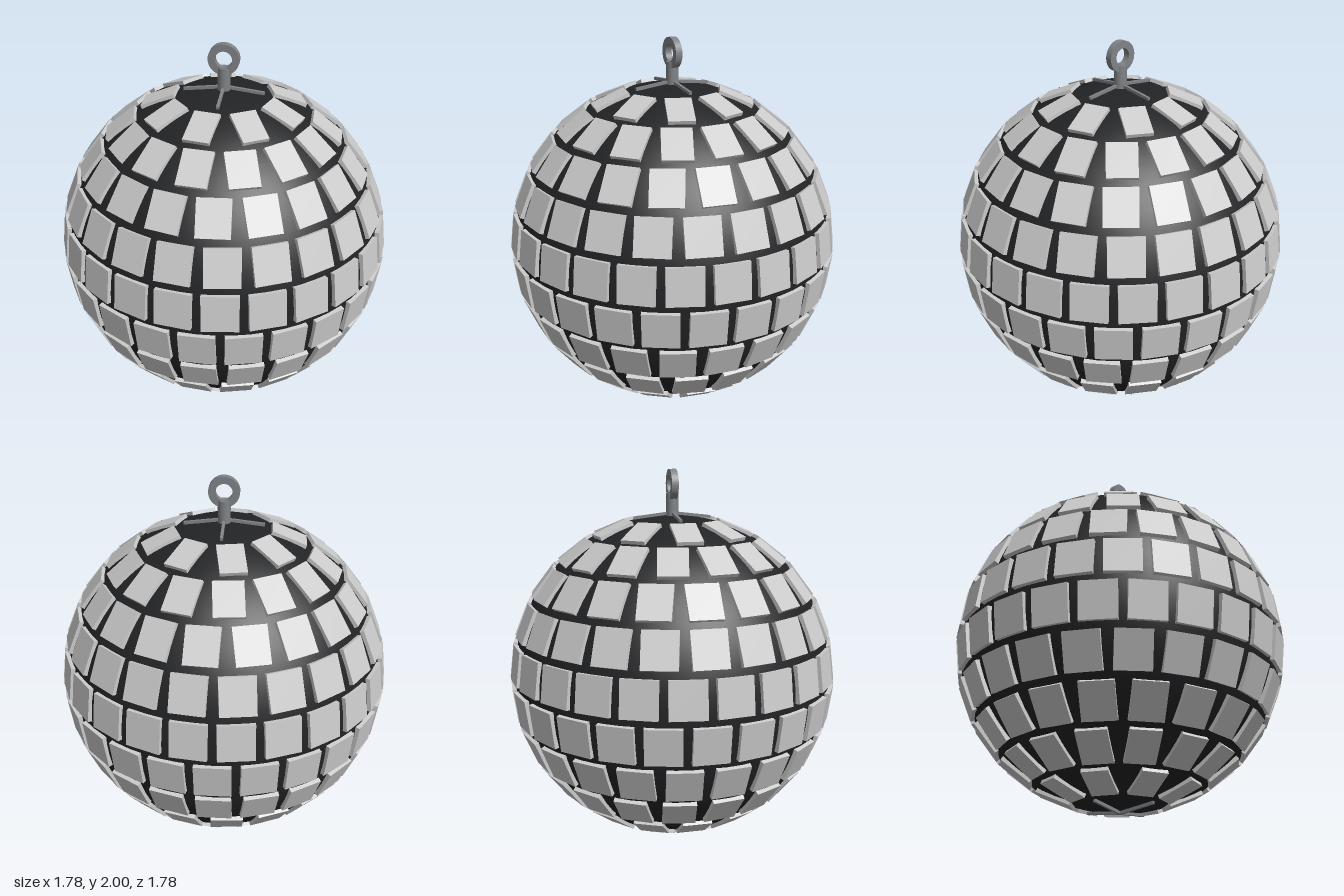
import * as THREE from 'three';

const CENTRE_Y = 0.89;
const BALL_R = 0.868;

export function createModel() {
  const model = new THREE.Group();
  const tileMat = new THREE.MeshStandardMaterial({ color: 0xcccccc });
  const coreMat = new THREE.MeshStandardMaterial({ color: 0x222325 });
  const metalMat = new THREE.MeshStandardMaterial({ color: 0x808386 });

  const add = (parent, name, geometry, material) => {
    const mesh = new THREE.Mesh(geometry, material);
    mesh.name = name;
    parent.add(mesh);
    return mesh;
  };

  // Places a mesh on the ball, its local +z pointing outwards
  const placeOnBall = (mesh, latitude, angle, radius) => {
    mesh.position.set(
      Math.cos(latitude) * Math.cos(angle),
      Math.sin(latitude),
      Math.cos(latitude) * Math.sin(angle)
    ).multiplyScalar(radius);
    mesh.rotation.set(-latitude, Math.PI / 2 - angle, 0, 'YXZ');
  };

  const ball = new THREE.Group();
  ball.name = 'ball';
  ball.position.y = CENTRE_Y;
  model.add(ball);

  // Dark core
  add(ball, 'core', new THREE.SphereGeometry(BALL_R, 64, 40), coreMat);

  // Ten rows of mirror tiles, every second row shifted by half a step
  for (let row = 0; row < 10; row++) {
    const latitude = THREE.MathUtils.degToRad(67.5 - 15 * row);
    const count = Math.round(24 * Math.cos(latitude));
    const shift = row % 2 === 0 ? 0.5 : 0;
    const width = 0.104 + 0.08 * Math.cos(latitude);
    const geometry = new THREE.BoxGeometry(width, 0.19, 0.03);
    const rowGroup = new THREE.Group();
    rowGroup.name = `tileRow${row + 1}`;
    ball.add(rowGroup);
    for (let i = 0; i < count; i++) {
      const tile = add(rowGroup, 'mirrorTile', geometry, tileMat);
      placeOnBall(tile, latitude, ((i + shift) / count) * Math.PI * 2, BALL_R - 0.002);
    }
  }

  // Four thin ribs crossing at each pole
  const ribGeometry = new THREE.BoxGeometry(0.015, 0.21, 0.015);
  for (const side of [1, -1]) {
    for (let i = 0; i < 4; i++) {
      const rib = add(ball, side > 0 ? 'topRib' : 'bottomRib', ribGeometry, metalMat);
      placeOnBall(rib, side * (Math.PI / 2 - 0.119), (i * Math.PI) / 2, 0.876);
    }
  }

  // Hanger: stem and flat ring
  const hanger = new THREE.Group();
  hanger.name = 'hanger';
  model.add(hanger);
  const stem = add(hanger, 'stem', new THREE.CylinderGeometry(0.033, 0.033, 0.125, 24), metalMat);
  stem.position.y = 1.8125;

  const ringShape = new THREE.Shape().absarc(0, 0, 0.08, 0, Math.PI * 2);
  ringShape.holes.push(new THREE.Path().absarc(0, 0, 0.043, 0, Math.PI * 2, true));
  const ringGeometry = new THREE.ExtrudeGeometry(ringShape, {
    depth: 0.036, bevelEnabled: false, curveSegments: 32
  }).translate(0, 0, -0.018);
  const ring = add(hanger, 'ring', ringGeometry, metalMat);
  ring.position.y = 1.92;

  return model;
}
